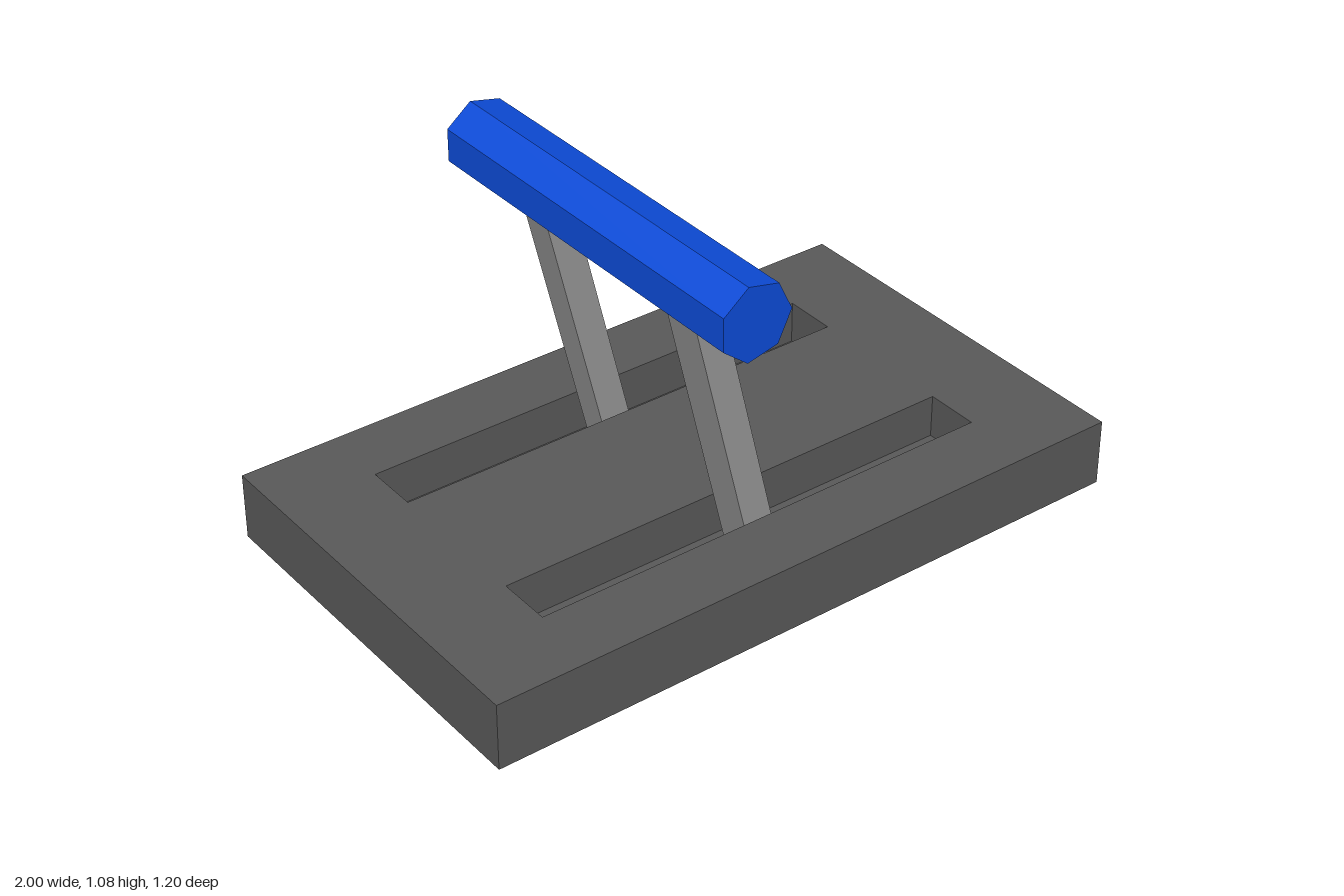
import * as THREE from 'three';

export function createModel() {
  const model = new THREE.Group();
  const material = (name, color) => {
    const m = new THREE.MeshStandardMaterial({ color });
    m.name = name;
    return m;
  };
  const darkGrey = material('darkGrey', 0x5a5a5a);
  const lightGrey = material('lightGrey', 0x999999);
  const blue = material('blue', 0x0d4cda);

  const add = (name, geometry, mat, parent = model) => {
    const mesh = new THREE.Mesh(geometry, mat);
    mesh.name = name;
    parent.add(mesh);
    return mesh;
  };
  const rectangle = (target, x, z0, z1) => {
    target.moveTo(-x, z0);
    target.lineTo(x, z0);
    target.lineTo(x, z1);
    target.lineTo(-x, z1);
    target.closePath();
    return target;
  };

  // Base: a solid floor under a plate with two long slots
  const height = 0.2, floor = 0.07;
  const base = new THREE.Group();
  base.name = 'base';
  model.add(base);
  add('slotFloor', new THREE.BoxGeometry(2, floor, 1.2), darkGrey, base).position.y = floor / 2;

  const plate = rectangle(new THREE.Shape(), 1, -0.595, 0.6);
  plate.curves.length = 0;
  rectangle(plate, 1, -0.6, 0.6);
  // Shape y becomes -z once the plate is laid flat
  plate.holes.push(rectangle(new THREE.Path(), 0.715, -0.385, -0.225));
  plate.holes.push(rectangle(new THREE.Path(), 0.715, 0.23, 0.39));
  const plateGeometry = new THREE.ExtrudeGeometry(plate, { depth: height - floor, bevelEnabled: false });
  plateGeometry.rotateX(-Math.PI / 2);
  add('slottedPlate', plateGeometry, darkGrey, base).position.y = floor;

  // Grip: a seven-sided bar running front to back
  const gripX = -0.213, gripY = 0.976;
  const gripGeometry = new THREE.CylinderGeometry(0.11, 0.11, 1.18, 7, 1, false, Math.PI / 2);
  gripGeometry.rotateX(Math.PI / 2);
  const grip = add('grip', gripGeometry.toNonIndexed(), blue);
  grip.geometry.computeVertexNormals();
  grip.position.set(gripX, gripY, 0);

  // Legs: leaning posts from the slots up into the grip
  const foot = new THREE.Vector2(0.016, 0.03);
  const lean = new THREE.Vector2(gripX, gripY).sub(foot);
  const legs = [
    { name: 'frontLeg', z: 0.314, width: 0.112, twist: 0.04 },
    { name: 'backLeg', z: -0.31, width: 0.096, twist: 0.02 },
  ];
  for (const { name, z, width, twist } of legs) {
    const geometry = new THREE.BoxGeometry(0.09, lean.length(), width);
    geometry.rotateY(twist);
    const leg = add(name, geometry, lightGrey);
    leg.position.set(foot.x + lean.x / 2, foot.y + lean.y / 2, z);
    leg.rotation.z = Math.atan2(-lean.x, lean.y);
  }

  return model;
}
